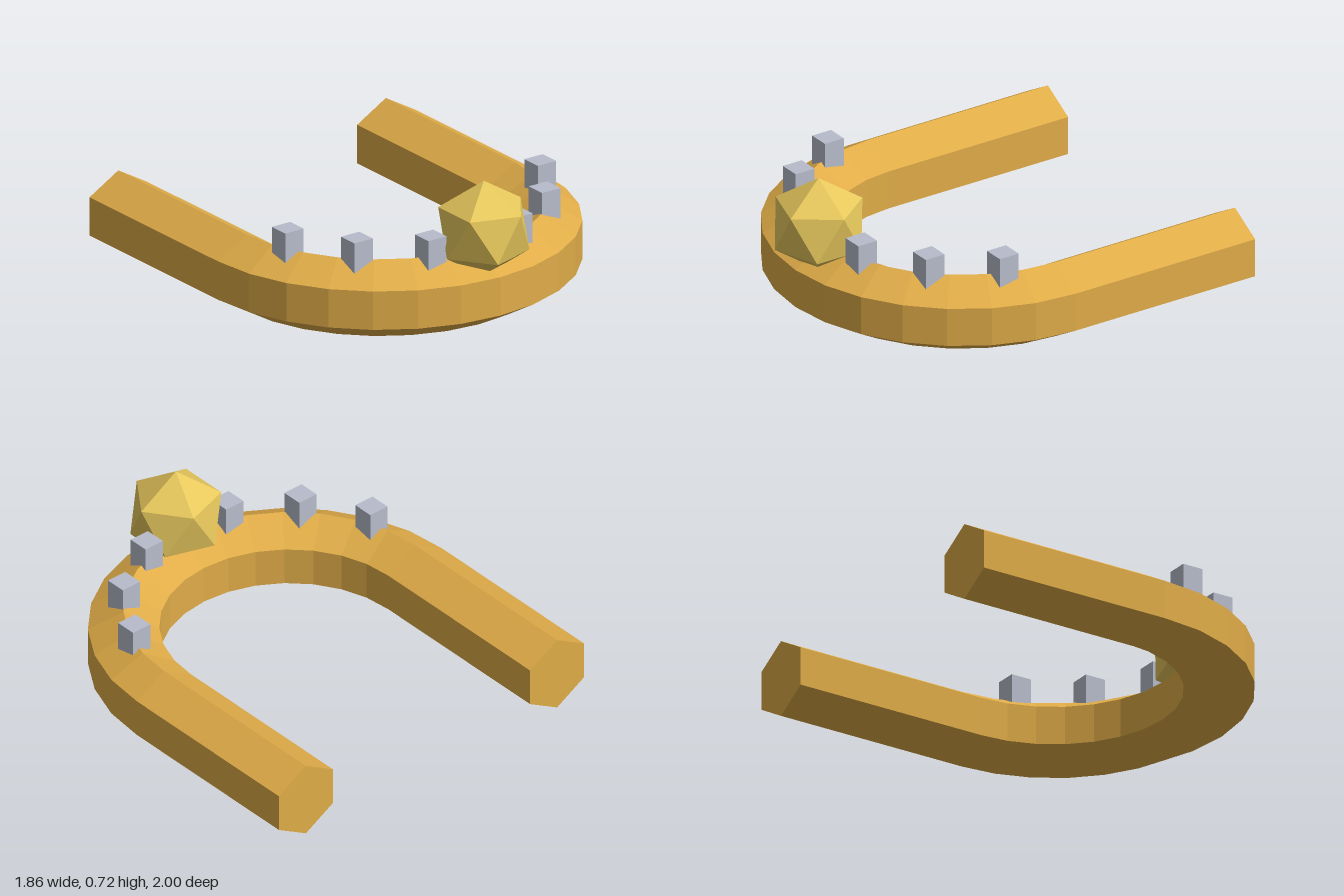
import * as THREE from 'three';

const RADIUS = 0.765; // centre line of the bend
const TUBE = 0.19; // hexagonal bar, point up

function mat(color) {
  return new THREE.MeshStandardMaterial({ color, flatShading: true });
}

export function createModel() {
  const model = new THREE.Group();
  const gold = mat(0xe0ac48);
  const paleGold = mat(0xe6c75c);
  const silver = mat(0xb8bccb);

  function add(name, geometry, material, x, y, z) {
    const mesh = new THREE.Mesh(geometry, material);
    mesh.name = name;
    mesh.position.set(x, y, z);
    model.add(mesh);
    return mesh;
  }

  // Half-ring band: hexagon swept through 180 degrees around the front
  const profile = [];
  for (let i = 0; i <= 6; i++) {
    const a = -Math.PI / 2 + (i * Math.PI) / 3;
    profile.push(new THREE.Vector2(RADIUS + TUBE * Math.cos(a), TUBE * Math.sin(a)));
  }
  add('bandArc', new THREE.LatheGeometry(profile, 14, -Math.PI / 2, Math.PI), gold, 0, TUBE, 0);

  // Straight arms running back
  const arm = new THREE.CylinderGeometry(TUBE, TUBE, 1, 6).rotateX(Math.PI / 2);
  add('leftArm', arm, gold, RADIUS, TUBE, -0.5);
  add('rightArm', arm, gold, -RADIUS, TUBE, -0.5);

  // Centre gem, tipped so that one vertex points straight up
  const gem = new THREE.IcosahedronGeometry(0.235, 0);
  gem.rotateZ(-Math.atan(2 / (1 + Math.sqrt(5))));
  add('gem', gem, paleGold, 0, 0.487, 0.8);

  // Studs set along the top of the bend
  const stud = new THREE.BoxGeometry(0.105, 0.19, 0.105);
  [0.35, 0.8, 1.25, 1.9, 2.35, 2.8].forEach((a, i) => {
    add('stud' + (i + 1), stud, silver, RADIUS * Math.cos(a), 0.39, RADIUS * Math.sin(a));
  });

  return model;
}
